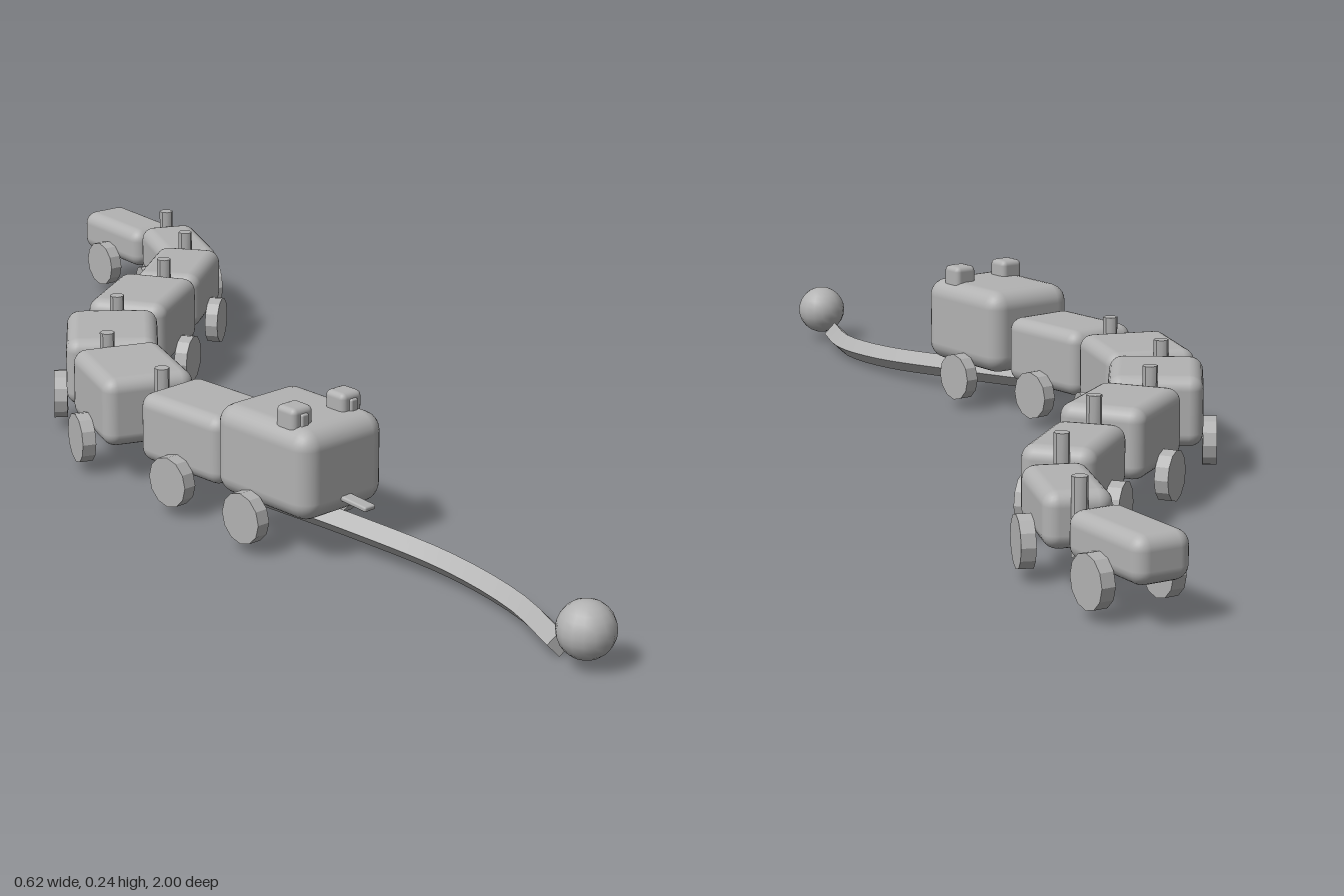
import * as THREE from 'three';
import { toCreasedNormals } from 'three/addons/utils/BufferGeometryUtils.js';
import { RoundedBoxGeometry } from 'three/addons/geometries/RoundedBoxGeometry.js';

const grey = new THREE.MeshStandardMaterial({ color: 0xb2b2b2 });
grey.name = 'plain grey';
const WHEEL_R = 0.04, WHEEL_T = 0.022;

function add(parent, name, geometry, x, y, z) {
  const mesh = new THREE.Mesh(geometry, grey);
  mesh.name = name;
  mesh.position.set(x, y, z);
  parent.add(mesh);
  return mesh;
}

// Rounded body on a pair of wheels, turned about the vertical axis
function makeSegment(name, { x, z, yaw, w, l, bottom, top, r, axle = 0 }) {
  const segment = new THREE.Group();
  segment.name = name;
  segment.position.set(x, 0, z);
  segment.rotation.y = THREE.MathUtils.degToRad(yaw);
  add(segment, name + 'Body', new RoundedBoxGeometry(w, top - bottom, l, 3, r), 0, (top + bottom) / 2, 0);
  const wheel = toCreasedNormals(new THREE.CylinderGeometry(WHEEL_R, WHEEL_R, WHEEL_T, 12), 0.4);
  wheel.rotateZ(Math.PI / 2);
  for (const [side, s] of [['left', 1], ['right', -1]]) {
    add(segment, side + 'Wheel', wheel, s * (w / 2 + WHEEL_T / 2), 0.055, axle);
  }
  return segment;
}

// Four-sided cord with closed ends
function makeCord() {
  const cord = new THREE.Group();
  cord.name = 'pullCord';
  const path = new THREE.CatmullRomCurve3([
    [-0.065, 0.052, 0.345], [0.055, 0.041, 0.49], [0.16, 0.03, 0.635],
    [0.222, 0.022, 0.78], [0.24, 0.02, 0.91],
  ].map((p) => new THREE.Vector3(...p)));
  const steps = 16, sides = 4;
  const tube = new THREE.TubeGeometry(path, steps, 0.02, sides);
  const pos = tube.attributes.position;
  for (const [name, ring, order] of [['cordStart', 0, [0, 1, 2, 0, 2, 3]], ['cordEnd', steps, [0, 2, 1, 0, 3, 2]]]) {
    const corners = order.flatMap((i) => {
      const k = ring * (sides + 1) + i;
      return [pos.getX(k), pos.getY(k), pos.getZ(k)];
    });
    const cap = new THREE.BufferGeometry();
    cap.setAttribute('position', new THREE.Float32BufferAttribute(corners, 3));
    cap.computeVertexNormals();
    const mesh = add(cord, name, cap, 0, 0, 0);
    mesh.material = capGrey;
  }
  add(cord, 'cord', toCreasedNormals(tube, 0.6), 0, 0, 0);
  return cord;
}

const capGrey = grey.clone();
capGrey.side = THREE.DoubleSide;

export function createModel() {
  const model = new THREE.Group();
  model.name = 'pullAlongCaterpillar';

  // Head with eyes and tongue
  const head = makeSegment('head', { x: -0.019, z: 0.41, yaw: 31, w: 0.168, l: 0.205, bottom: 0.068, top: 0.21, r: 0.03, axle: -0.015 });
  for (const [side, s] of [['left', 1], ['right', -1]]) {
    add(head, side + 'Eye', new RoundedBoxGeometry(0.041, 0.046, 0.041, 2, 0.009), s * 0.05, 0.214, 0.042);
    add(head, side + 'Pupil', new RoundedBoxGeometry(0.014, 0.022, 0.008, 2, 0.003), s * 0.05, 0.217, 0.063);
  }
  const tongue = add(head, 'tongue', new RoundedBoxGeometry(0.022, 0.008, 0.07, 2, 0.003), 0, 0.094, 0.118);
  tongue.rotation.x = 0.07;
  model.add(head);

  // Body segments from neck to tail: x, z, yaw, width, top
  const segments = [
    [-0.124, 0.233, 33, 0.132, 0.173],
    [-0.21, 0.04, 9, 0.15, 0.175],
    [-0.213, -0.148, -9, 0.15, 0.175],
    [-0.13, -0.339, -29, 0.139, 0.173],
    [-0.034, -0.53, -24, 0.115, 0.16],
    [0.001, -0.72, 5, 0.1, 0.146],
    [-0.06, -0.909, 25, 0.092, 0.133],
  ];
  segments.forEach(([x, z, yaw, w, top], i) => {
    model.add(makeSegment('segment' + (i + 1), { x, z, yaw, w, l: 0.182, bottom: 0.062, top, r: 0.022 }));
  });

  // Upright hinge pins between segments: x, z, top
  const pins = [
    [-0.181, 0.147, 0.195], [-0.237, -0.045, 0.195], [-0.19, -0.238, 0.195],
    [-0.077, -0.43, 0.195], [-0.005, -0.62, 0.185], [-0.006, -0.813, 0.17],
  ];
  for (const [x, z, top] of pins) {
    const pin = toCreasedNormals(new THREE.CylinderGeometry(0.012, 0.012, top - 0.055, 8), 0.9);
    add(model, 'hingePin', pin, x, (top + 0.055) / 2, z);
  }

  // Pull cord and ball handle
  model.add(makeCord());
  add(model, 'ballHandle', new THREE.SphereGeometry(0.043, 16, 12), 0.263, 0.058, 0.953);
  return model;
}
